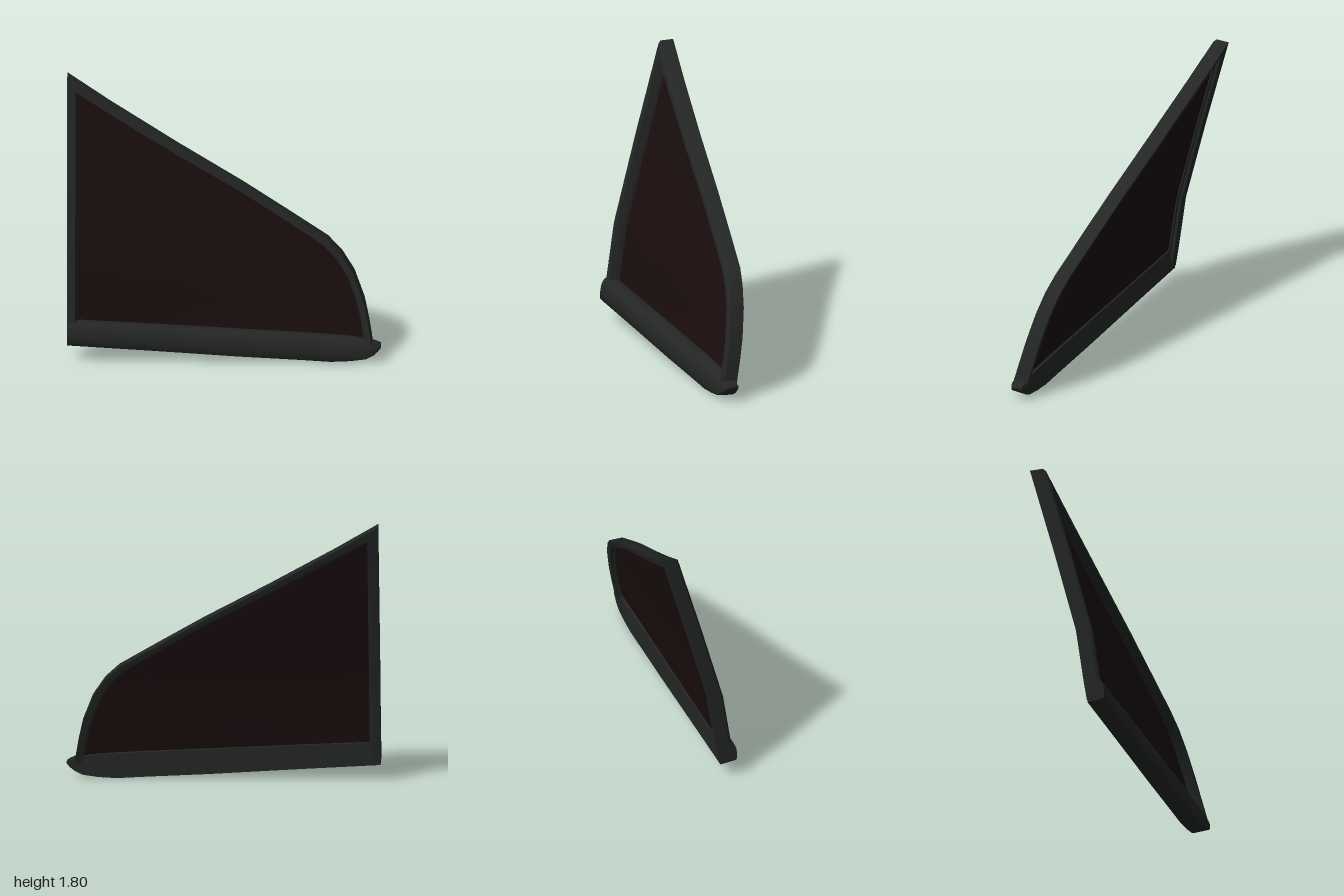
import * as THREE from 'three';
import { toCreasedNormals } from 'three/addons/utils/BufferGeometryUtils.js';

// Piecewise-linear lookup in a list of [key, value], keys rising
function lookup(table, k) {
  let i = 1;
  while (i < table.length - 1 && k > table[i][0]) i++;
  const [k0, v0] = table[i - 1], [k1, v1] = table[i];
  return v0 + (v1 - v0) * (k - k0) / (k1 - k0);
}

// Back surface of the leaning, slightly twisted window
const lean = [[0.12, 0.136], [0.28, 0.11], [0.63, 0.06], [1.2, -0.088], [1.8, -0.252]];
const backZ = (x, y) => lookup(lean, y) - 0.022 * (x + 1) * Math.min(1, y / 0.6);

// Skin a list of equal-length rings of Vector3
function loft(rings, { closed = true, caps = true, crease = 0.6 } = {}) {
  const n = rings[0].length, index = [];
  for (let i = 0; i < rings.length - 1; i++) {
    for (let j = 0; j < (closed ? n : n - 1); j++) {
      const k = (j + 1) % n, a = i * n + j, b = i * n + k;
      index.push(a, a + n, b, b, a + n, b + n);
    }
  }
  if (caps) {
    const last = (rings.length - 1) * n;
    for (let j = 1; j < n - 1; j++) {
      index.push(0, j, j + 1, last, last + j + 1, last + j);
    }
  }
  const geo = new THREE.BufferGeometry().setFromPoints(rings.flat());
  geo.setIndex(index);
  return toCreasedNormals(geo, crease);
}

function part(name, geometry, color, side = THREE.FrontSide) {
  const mesh = new THREE.Mesh(geometry, new THREE.MeshStandardMaterial({ color, side }));
  mesh.name = name;
  return mesh;
}

// Matching outer and inner outline points: [outerX, outerY, innerX, innerY]
const outline = [
  [-1, 0.13, -0.93, 0.13], [-1, 0.28, -0.93, 0.28], [-1, 0.63, -0.93, 0.63],
  [-1, 1.2, -0.93, 1.2], [-1, 1.8, -0.93, 1.685], [-0.72, 1.62, -0.70, 1.54],
  [-0.3, 1.365, -0.3, 1.305], [0.12, 1.12, 0.10, 1.08], [0.4, 0.945, 0.37, 0.91],
  [0.66, 0.78, 0.62, 0.745], [0.75, 0.69, 0.70, 0.665], [0.83, 0.565, 0.775, 0.55],
  [0.895, 0.39, 0.84, 0.38], [0.925, 0.25, 0.87, 0.25], [0.95, 0.1, 0.89, 0.1],
];

// Frame section: [inward fraction, depth in front of the back surface]
const section = [
  [0.2, 0], [0.75, 0.004], [0.8, 0.022], [1, 0.026], [1, 0.05], [0.85, 0.078],
  [0.75, 0.1], [0.15, 0.102], [0, 0.088], [0, 0],
];

function frame() {
  const rings = outline.map(([ox, oy, ix, iy]) => section.map(([t, d]) => {
    const x = ox + (ix - ox) * t, y = oy + (iy - oy) * t;
    return new THREE.Vector3(x, y, backZ(x, y) + d);
  }));
  return loft(rings, { crease: 0.5 });
}

// Glass follows the leaning surface, column by column under the inner outline
function glass() {
  const rows = 12;
  const columns = outline.slice(4).map(([, , x, top]) => {
    const bottom = 0.2 - 0.06 * (x + 0.93);
    return Array.from({ length: rows + 1 }, (_, j) => {
      const y = bottom + (Math.max(top, bottom + 0.005) - bottom) * j / rows;
      return new THREE.Vector3(x, y, backZ(x, y) + 0.036);
    });
  });
  return loft(columns, { closed: false, caps: false, crease: 1 });
}

// Sill stations: [x, bottom, top, front z]
const stations = [
  [-1, 0.11, 0.27, 0.252], [-0.5, 0.077, 0.243, 0.252], [0.1, 0.035, 0.208, 0.252],
  [0.5, 0.012, 0.185, 0.252], [0.68, 0, 0.172, 0.252], [0.8, 0.006, 0.161, 0.251],
  [0.9, 0.02, 0.145, 0.25], [0.95, 0.045, 0.13, 0.242], [0.98, 0.07, 0.116, 0.225],
  [1, 0.094, 0.104, 0.2],
];

// Sill section: [back to front, bottom to top]
const sillSection = [
  [0, 0], [0.93, 0.07], [1, 0.13], [1, 0.42], [0.95, 0.66], [0.84, 0.85],
  [0.68, 0.96], [0.5, 1], [0.2, 0.99], [0, 0.95],
];

function sill() {
  const back = 0.14;
  return loft(stations.map(([x, lo, hi, front]) => sillSection.map(([u, v]) =>
    new THREE.Vector3(x, lo + (hi - lo) * v, back + (front - back) * u))), { crease: 0.7 });
}

export function createModel() {
  const group = new THREE.Group();
  group.name = 'quarterWindow';
  group.add(
    part('windowFrame', frame(), 0x242626),
    part('windowGlass', glass(), 0x1a0d0d, THREE.DoubleSide),
    part('sillTrim', sill(), 0x242626),
  );
  return group;
}
